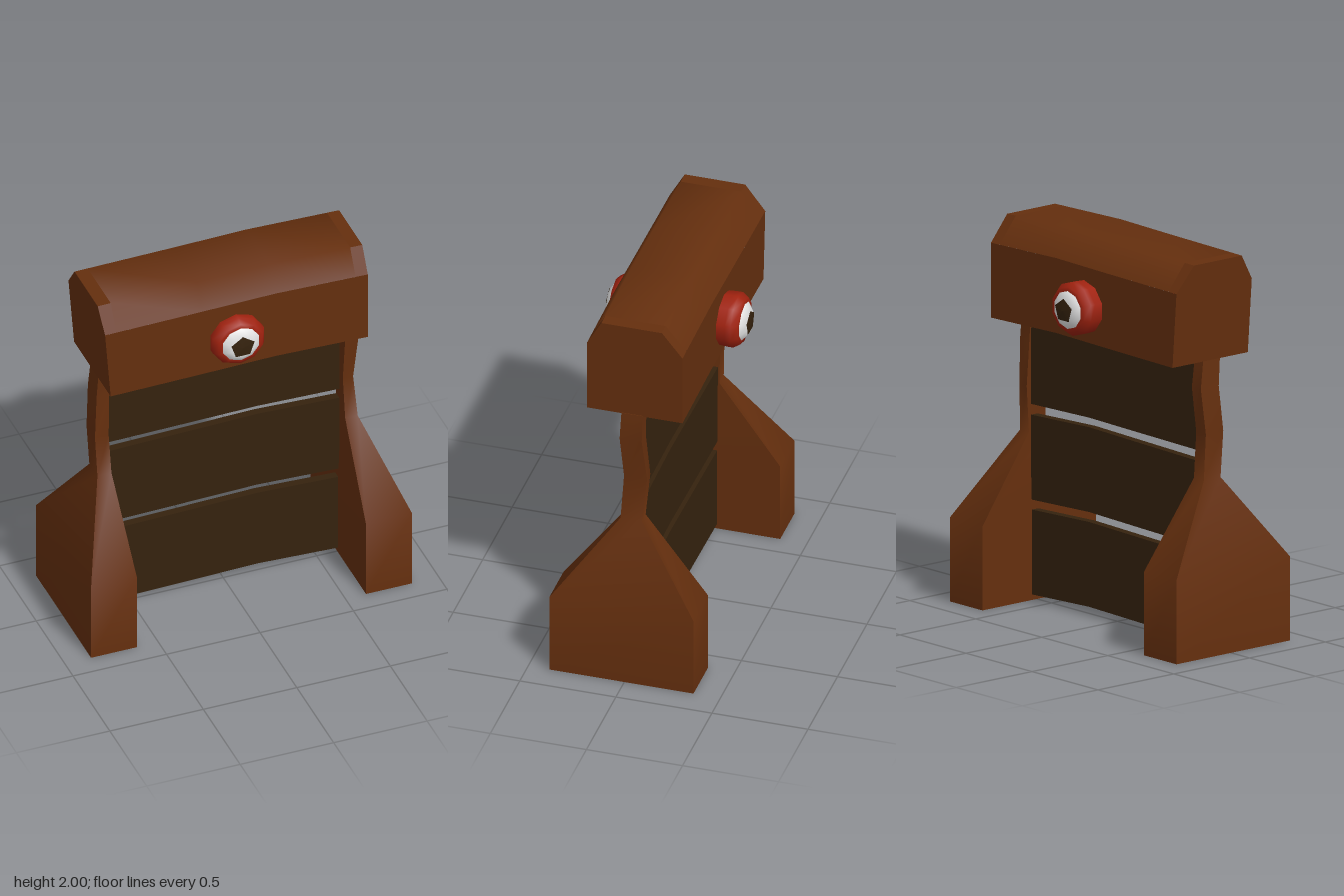
import * as THREE from 'three';

const mat = (name, color) => {
  const m = new THREE.MeshStandardMaterial({ color });
  m.name = name;
  return m;
};

// Skins loops of [x, y, z] that run counter-clockwise about the sweep direction.
// Each side is smooth along the sweep; corners between sides stay sharp unless round is set.
function loft(sections, { sides = sections[0].length, caps = true, round = false } = {}) {
  const n = sections[0].length, position = [], index = [];
  const strip = (columns) => {
    const base = position.length / 3, w = columns.length;
    for (const s of sections) for (const c of columns) position.push(...s[c % n]);
    for (let i = 0; i < sections.length - 1; i++) {
      for (let j = 0; j < w - 1; j++) {
        const a = base + i * w + j, d = a + w;
        index.push(a, a + 1, d + 1, a, d + 1, d);
      }
    }
  };
  const cap = (loop) => {
    const base = position.length / 3;
    for (const p of loop) position.push(...p);
    for (let j = 1; j < n - 1; j++) index.push(base, base + j, base + j + 1);
  };
  if (round) strip([...Array(sides + 1).keys()]);
  else for (let j = 0; j < sides; j++) strip([j, j + 1]);
  if (caps) {
    cap([...sections[0]].reverse());
    cap(sections[sections.length - 1]);
  }
  const g = new THREE.BufferGeometry();
  g.setAttribute('position', new THREE.Float32BufferAttribute(position, 3));
  g.setIndex(index);
  g.computeVertexNormals();
  return g;
}

export function createModel() {
  const model = new THREE.Group();
  model.name = 'woodenBarrier';
  const brown = mat('brownWood', 0x652f0e);
  const dark = mat('darkWood', 0x35220e);
  const red = mat('redRim', 0xa0220f);
  const white = mat('whiteEye', 0xe6e6e6);

  const add = (name, geometry, material, parent = model) => {
    const mesh = new THREE.Mesh(geometry, material);
    mesh.name = name;
    parent.add(mesh);
  };

  // Side posts: wide feet tapering into thin, wavy uprights. Rows: y, x0, x1, z0, z1
  const post = (rows) => loft(rows.map(([y, x0, x1, z0, z1]) =>
    [[x0, y, z0], [x0, y, z1], [x1, y, z1], [x1, y, z0]]));
  add('rightPost', post([
    [0, -0.86, -0.615, -0.36, 0.39],
    [0.43, -0.86, -0.615, -0.36, 0.39],
    [0.86, -0.7, -0.625, -0.04, 0.07],
    [1.1, -0.715, -0.642, -0.04, 0.075],
    [1.33, -0.7, -0.632, -0.06, 0.058],
    [1.475, -0.695, -0.63, -0.04, 0.07],
  ]), brown);
  add('leftPost', post([
    [0, 0.61, 0.857, -0.36, 0.39],
    [0.43, 0.61, 0.857, -0.36, 0.39],
    [0.86, 0.625, 0.692, -0.04, 0.07],
    [1.1, 0.617, 0.672, -0.062, 0.058],
    [1.33, 0.622, 0.692, -0.04, 0.075],
    [1.475, 0.61, 0.678, -0.04, 0.07],
  ]), brown);

  // Gentle upward bow shared by the beam and planks
  const bow = [0, 0.5, 1, 0];

  // Planks: right end, bottom, rise of the bow
  [[-0.625, 0.028, 0.018], [-0.63, 0.514, 0.018], [-0.64, 1.004, 0.012]].forEach(([x0, y, rise], i) => {
    const sections = [x0, -0.21, 0.18, 0.617].map((x, k) => {
      const b = y + bow[k] * rise, t = b + 0.435;
      return [[x, b, -0.032], [x, t, -0.032], [x, t, 0.01], [x, b, 0.01]];
    });
    add('plank' + (i + 1), loft(sections), dark);
  });

  // Top beam: square-sided body under a chamfered roof, slanted at one end
  const beam = new THREE.Group();
  beam.name = 'topBeam';
  model.add(beam);
  const lift = (k) => bow[k] * 0.014;
  const roof = (x, y, xTop = x) => [
    [x, 1.855 + y, -0.247], [xTop, 1.986 + y, -0.14],
    [xTop, 1.986 + y, 0.175], [x, 1.855 + y, 0.25],
  ];
  const body = [[-0.7, -0.73, -0.74], [-0.21, -0.21], [0.18, 0.18], [0.675, 0.675]].map(([xb, xt, xr], k) => {
    const b = 1.471 + lift(k), [back, roofBack, roofFront, front] = roof(xt, lift(k), xr);
    return [front, [xb, b, 0.25], [xb, b, -0.247], back, roofBack, roofFront];
  });
  add('beamBody', loft(body, { sides: 3 }), brown, beam);

  const inner = [roof(-0.67, 0.001), roof(-0.21, lift(1)), roof(0.18, lift(2)), roof(0.61, 0.002)];
  add('beamRoof', loft(inner, { sides: 3, caps: false, round: true }), brown, beam);
  add('beamRoofRightEnd', loft([roof(-0.73, 0, -0.74), inner[0]], { sides: 3, caps: false }), brown, beam);
  add('beamRoofLeftEnd', loft([inner[3], roof(0.675, 0)], { sides: 3, caps: false }), brown, beam);

  // Round eyes on the front and back faces of the beam
  const lathe = (points, sides) => new THREE.LatheGeometry(
    points.map(([r, z]) => new THREE.Vector2(r, z)), sides).rotateX(Math.PI / 2).rotateZ(Math.PI);
  const rim = lathe([[0.14, 0.21], [0.143, 0.26], [0.143, 0.288], [0.122, 0.32], [0.1, 0.322]], 10);
  const ball = lathe([[0.105, 0.312], [0.098, 0.326], [0.062, 0.35], [0, 0.351]], 10);
  const pupil = lathe([[0.065, 0.349], [0.062, 0.353], [0, 0.358]], 5);
  for (const [name, turn, shift] of [['frontEye', 0, -0.004], ['backEye', Math.PI, -0.033]]) {
    const eye = new THREE.Group();
    eye.name = name;
    eye.position.set(-0.03, 1.66, shift);
    eye.rotation.y = turn;
    eye.scale.set(1.01, 0.97, 1);
    add('eyeRim', rim, red, eye);
    add('eyeBall', ball, white, eye);
    add('pupil', pupil, dark, eye);
    model.add(eye);
  }

  return model;
}
